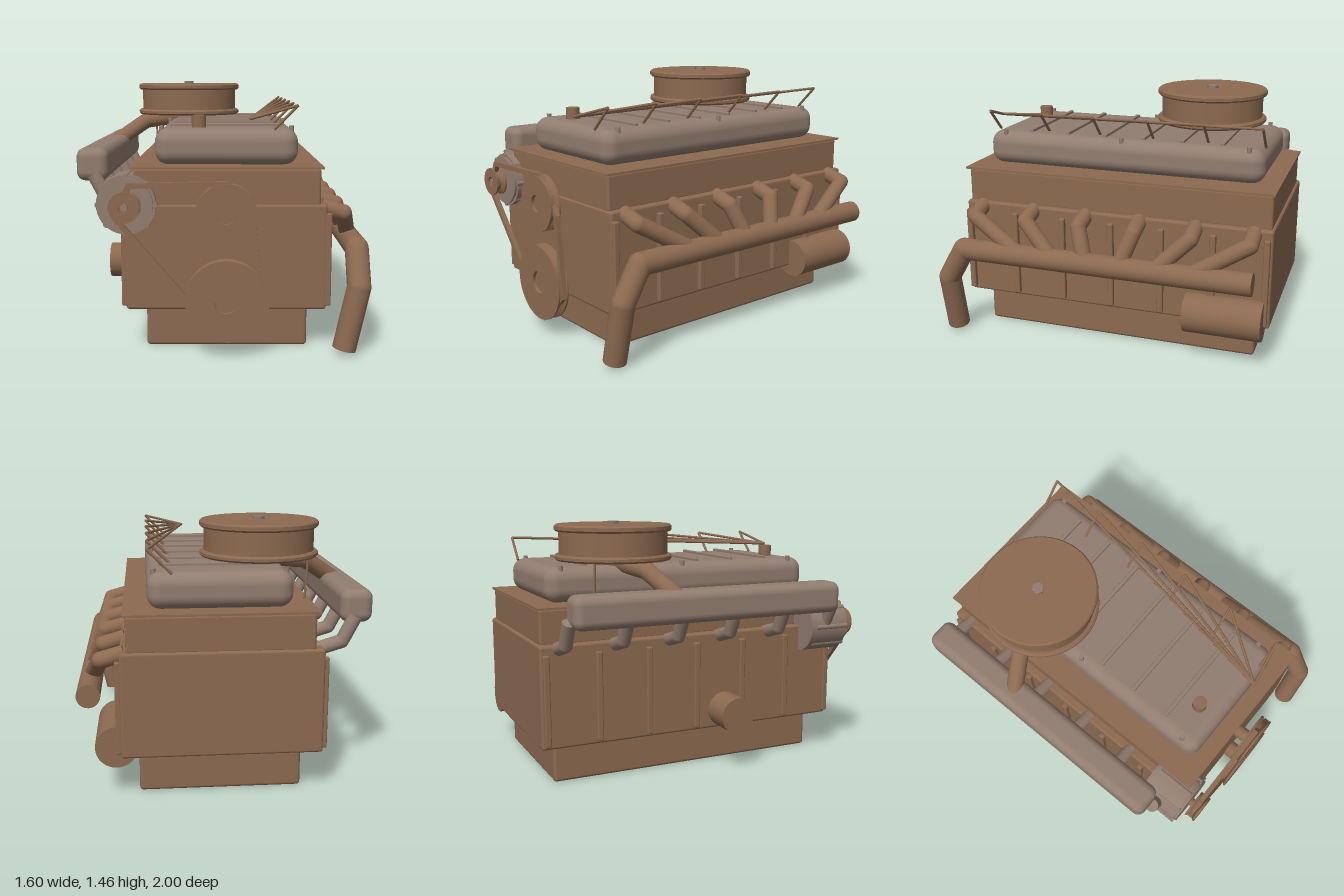
import * as THREE from 'three';
import { RoundedBoxGeometry } from 'three/addons/geometries/RoundedBoxGeometry.js';

const V = (p) => new THREE.Vector3(...p);

export function createModel() {
  const engine = new THREE.Group();
  engine.name = 'engine';
  const brown = new THREE.MeshStandardMaterial({ color: 0x8c6a50 });
  brown.name = 'bronze brown';
  const grey = new THREE.MeshStandardMaterial({ color: 0x927d70 });
  grey.name = 'warm grey';

  function add(name, geometry, material, parent = engine) {
    const mesh = new THREE.Mesh(geometry, material);
    mesh.name = name;
    parent.add(mesh);
    return mesh;
  }
  function group(name) {
    const g = new THREE.Group();
    g.name = name;
    engine.add(g);
    return g;
  }
  // Box given by its min and max corners, with rounded edges
  function box(name, a, b, radius, material, parent) {
    const size = a.map((v, i) => b[i] - v);
    const geo = radius ? new RoundedBoxGeometry(...size, 4, radius) : new THREE.BoxGeometry(...size);
    const mesh = add(name, geo, material, parent);
    mesh.position.set(...a.map((v, i) => (v + b[i]) / 2));
    return mesh;
  }
  // Round rod between two points
  function rod(name, a, b, r, material, parent, sides = 24) {
    const from = V(a), to = V(b);
    const mesh = add(name, new THREE.CylinderGeometry(r, r, from.distanceTo(to), sides), material, parent);
    mesh.position.copy(from).add(to).multiplyScalar(0.5);
    mesh.quaternion.setFromUnitVectors(new THREE.Vector3(0, 1, 0), to.sub(from).normalize());
    return mesh;
  }
  // Mitred pipe: straight rods with ball joints
  function pipe(name, points, r, material) {
    const g = group(name);
    for (let i = 1; i < points.length; i++) {
      rod('pipeSection', points[i - 1], points[i], r, material, g);
      if (i < points.length - 1) {
        add('pipeElbow', new THREE.SphereGeometry(r, 24, 16), material, g).position.set(...points[i]);
      }
    }
  }

  // Block, sump, head and gasket plate
  box('oilPan', [-0.42, 0, -0.9], [0.47, 0.225, 0.785], 0.02, brown);
  box('engineBlock', [-0.523, 0.23, -0.995], [0.566, 0.81, 0.868], 0.015, brown);
  box('cylinderHead', [-0.475, 0.8, -0.98], [0.53, 1.003, 0.86], 0.015, brown);
  box('gasketPlate', [-0.495, 1.0, -0.99], [0.546, 1.012, 0.877], 0, brown);
  for (let i = 0; i < 7; i++) {
    const z = 0.848 - i * 0.302;
    box('leftRib', [0.55, 0.25, z - 0.018], [0.592, 0.76, z + 0.018], 0.008, brown);
    box('rightRib', [-0.547, 0.25, z - 0.018], [-0.51, 0.76, z + 0.018], 0.008, brown);
  }

  // Valve cover with fins, bolts and filler cap
  box('valveCover', [-0.37, 1.01, -0.9], [0.415, 1.21, 0.785], 0.075, grey);
  for (let i = 0; i < 6; i++) {
    const z = -0.65 + i * 0.2355;
    box('coverFin', [-0.295, 1.2, z - 0.012], [0.345, 1.226, z + 0.012], 0.005, grey);
  }
  for (const x of [-0.335, 0.38])
    for (const z of [-0.81, -0.06, 0.68])
      rod('coverBolt', [x, 1.16, z], [x, 1.222, z], 0.014, grey, engine, 12);
  rod('fillerCap', [-0.13, 1.2, 0.64], [-0.13, 1.277, 0.64], 0.04, brown);

  // Air cleaner: drum between two lids, centre nut and snorkel
  const drum = [[0, 1.235], [0.33, 1.235], [0.34, 1.245], [0.34, 1.26], [0.33, 1.27], [0.315, 1.27],
    [0.315, 1.4], [0.33, 1.4], [0.34, 1.41], [0.34, 1.43], [0.33, 1.44], [0, 1.44]];
  // Each edge is turned separately so it stays sharp
  const cleaner = group('airCleaner');
  cleaner.position.set(-0.232, 0, -0.455);
  function turned(name, profile, material, parent) {
    for (let i = 1; i < profile.length; i++) {
      const pair = [profile[i - 1], profile[i]].map((p) => new THREE.Vector2(...p));
      add(name, new THREE.LatheGeometry(pair, 48), material, parent);
    }
  }
  turned('airCleanerShell', drum, brown, cleaner);
  rod('airCleanerNeck', [0, 1.19, 0], [0, 1.24, 0], 0.1, brown, cleaner);
  rod('airCleanerNut', [0, 1.43, 0], [0, 1.456, 0], 0.036, grey, cleaner, 6);
  pipe('snorkel', [[-0.25, 1.225, -0.455], [-0.52, 1.19, -0.37], [-0.71, 1.06, -0.27]], 0.05, brown);
  rod('supportRod', [-0.48, 1.24, -0.66], [-0.465, 1.0, -0.66], 0.007, brown, engine, 8);

  // Intake plenum
  box('intakePlenum', [-0.802, 0.92, -0.885], [-0.625, 1.102, 0.757], 0.05, grey);

  // Runners, exhaust headers and ignition leads, one set per cylinder
  const leads = group('ignitionLeads');
  const hub = [0.15, 1.265, 0.81];
  for (let i = 0; i < 6; i++) {
    const z = 0.765 - i * 0.33;
    pipe('intakeRunner', [[-0.7, 0.96, z], [-0.63, 0.825, z], [-0.48, 0.78, z]], 0.038, grey);
    pipe('exhaustRunner', [[0.54, 0.785, z], [0.665, 0.75, z], [0.735, 0.57, -0.06 + (z + 0.06) * 0.62]], 0.046, brown);
    const peak = [0.41, 1.335, z];
    rod('lead', hub, peak, 0.008, brown, leads, 8);
    rod('leadEnd', peak, [0.28, 1.205, z], 0.008, brown, leads, 8);
  }
  pipe('exhaustCollector', [[0.735, 0.56, -0.92], [0.735, 0.56, 0.81], [0.735, 0.37, 0.92],
    [0.66, 0.03, 0.925]], 0.065, brown);

  // Starter motor and oil filter
  rod('starterMotor', [0.59, 0.285, -0.965], [0.59, 0.285, -0.52], 0.115, brown, engine, 32);
  rod('oilFilter', [-0.5, 0.34, 0.13], [-0.7, 0.34, 0.13], 0.105, brown, engine, 32);

  // Alternator with lugs around its rim
  const [ax, ay] = [-0.512, 0.813];
  const alternator = group('alternator');
  alternator.position.set(ax, ay, 0);
  rod('alternatorBody', [0, 0, 0.65], [0, 0, 0.9], 0.16, grey, alternator, 40);
  rod('alternatorNose', [0, 0, 0.88], [0, 0, 0.915], 0.145, grey, alternator, 40);
  for (let i = 0; i < 8; i++) {
    const a = i * Math.PI / 4;
    const x = Math.cos(a) * 0.15, y = Math.sin(a) * 0.15;
    rod('alternatorLug', [x, y, 0.68], [x, y, 0.905], 0.017, grey, alternator, 10);
  }

  // Grooved pulleys, each with a recessed hub and a shaft behind
  function pulley(name, x, y, r, hubRadius) {
    const g = group(name);
    g.position.set(x, y, 0);
    const wheel = new THREE.Group();
    wheel.name = 'pulleyWheel';
    wheel.rotation.x = Math.PI / 2;
    g.add(wheel);
    turned('pulleyRim', [[0, 0.935], [r, 0.935], [r, 0.945], [r - 0.025, 0.96], [r - 0.025, 0.975],
      [r, 0.99], [r, 1], [hubRadius, 1], [hubRadius, 0.98], [0, 0.98]], brown, wheel);
    rod('pulleyShaft', [0, 0, 0.85], [0, 0, 0.94], hubRadius * 0.8, brown, g);
    return g;
  }
  pulley('crankPulley', 0.022, 0.31, 0.22, 0.065);
  pulley('waterPumpPulley', 0.022, 0.775, 0.163, 0.05);
  const small = pulley('alternatorPulley', ax, ay, 0.083, 0.03);
  rod('pulleyNut', [0, 0, 0.97], [0, 0, 0.998], 0.02, grey, small, 6);

  // Drive belt: straight runs around the three pulleys
  const belt = group('driveBelt');
  const path = [[-0.49, 0.925], [0.03, 0.935], [0.19, 0.73], [0.235, 0.27], [0.03, 0.09],
    [-0.185, 0.31], [-0.565, 0.755]];
  path.forEach((p, i) => {
    const q = path[(i + 1) % path.length];
    const dx = q[0] - p[0], dy = q[1] - p[1];
    const run = add('beltRun', new THREE.BoxGeometry(Math.hypot(dx, dy) + 0.01, 0.028, 0.028), brown, belt);
    run.position.set((p[0] + q[0]) / 2, (p[1] + q[1]) / 2, 0.967);
    run.rotation.z = Math.atan2(dy, dx);
  });

  return engine;
}
